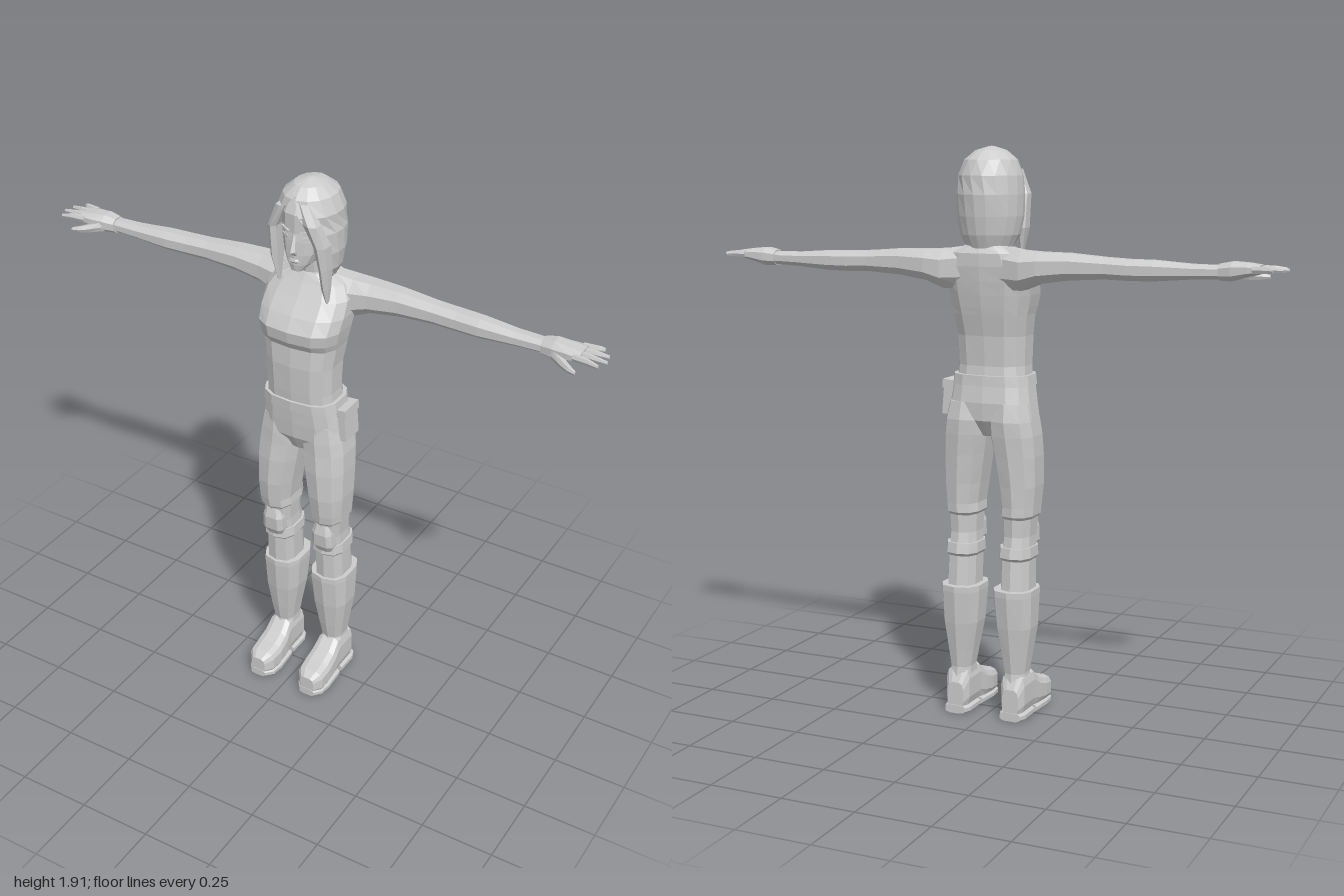
import * as THREE from 'three';

const grey = new THREE.MeshStandardMaterial({ color: 0xcccccc, flatShading: true, side: THREE.DoubleSide });
grey.name = 'plain grey';

// Axis along the loft, then the two axes of its cross-section
const AXES = { x: [0, 1, 2], y: [1, 0, 2], z: [2, 0, 1] };

// Capped loft; row = [position, aMin, aMax, bMin, bMax]; a low power gives a squarer section
function loft(name, axis, rows, { sides = 10, power = 0.8, mirror = 1 } = {}) {
  const [t, a, b] = AXES[axis];
  const bend = v => Math.sign(v) * Math.pow(Math.abs(v), power);
  const rings = rows.map(([pos, a0, a1, b0, b1]) => {
    const ring = [];
    for (let i = 0; i < sides; i++) {
      const ang = ((i + 0.5) / sides) * Math.PI * 2;
      const p = [0, 0, 0];
      p[t] = pos;
      p[a] = (a0 + a1) / 2 + ((a1 - a0) / 2) * bend(Math.cos(ang));
      p[b] = (b0 + b1) / 2 + ((b1 - b0) / 2) * bend(Math.sin(ang));
      p[0] *= mirror;
      ring.push(new THREE.Vector3(...p));
    }
    return ring;
  });
  const centre = r => r.reduce((s, p) => s.add(p), new THREE.Vector3()).divideScalar(sides);
  const first = centre(rings[0]), last = centre(rings[rings.length - 1]);
  const tris = [];
  for (let i = 0; i < sides; i++) {
    const j = (i + 1) % sides;
    for (let r = 0; r + 1 < rings.length; r++) {
      const p = rings[r], q = rings[r + 1];
      tris.push([p[i], p[j], q[j]], [p[i], q[j], q[i]]);
    }
    const end = rings[rings.length - 1];
    tris.push([first, rings[0][j], rings[0][i]], [last, end[i], end[j]]);
  }
  // Turn the faces outward whichever way the loft runs
  const volume = tris.reduce((s, [p, q, r]) => s + p.clone().sub(first).dot(q.clone().sub(first).cross(r.clone().sub(first))), 0);
  return meshFrom(name, volume < 0 ? tris.map(([p, q, r]) => [p, r, q]) : tris);
}

function meshFrom(name, tris) {
  const geo = new THREE.BufferGeometry().setFromPoints(tris.flat());
  geo.computeVertexNormals();
  const mesh = new THREE.Mesh(geo, grey);
  mesh.name = name;
  return mesh;
}

function box(name, size, pos, rot = [0, 0, 0]) {
  const mesh = new THREE.Mesh(new THREE.BoxGeometry(...size), grey);
  mesh.name = name;
  mesh.position.set(...pos);
  mesh.rotation.set(...rot);
  return mesh;
}

// Hair shell, open over the face; row = [y, halfWidth, zBack, zFront, right opening, left opening]
function hairShell() {
  const rows = [
    [1.912, 0.012, -0.05, -0.02, 0, 0], [1.9, 0.05, -0.1, 0.025, 0, 0],
    [1.87, 0.085, -0.14, 0.06, 0.12, 0.02], [1.82, 0.105, -0.158, 0.075, 0.6, 0.2],
    [1.76, 0.111, -0.162, 0.078, 0.75, 0.6], [1.69, 0.11, -0.155, 0.072, 0.85, 0.75],
    [1.63, 0.1, -0.145, 0.06, 1.0, 0.9], [1.575, 0.075, -0.125, 0.035, 1.5, 1.4],
  ];
  const n = 14;
  const grid = rows.map(([y, w, z0, z1, right, left]) => Array.from({ length: n + 1 }, (_, i) => {
    const ang = left + (i / n) * (Math.PI * 2 - right - left);
    return new THREE.Vector3(w * Math.sin(ang), y, (z0 + z1) / 2 + ((z1 - z0) / 2) * Math.cos(ang));
  }));
  const tris = [];
  for (let i = 0; i < n; i++) {
    tris.push([new THREE.Vector3(0, 1.914, -0.035), grid[0][i], grid[0][i + 1]]);
    for (let r = 0; r + 1 < grid.length; r++) {
      const p = grid[r], q = grid[r + 1];
      tris.push([p[i], q[i], q[i + 1]], [p[i], q[i + 1], p[i + 1]]);
    }
  }
  return meshFrom('hair', tris);
}

function buildHead() {
  const g = new THREE.Group();
  g.name = 'head';
  g.add(loft('neck', 'y', [[1.55, -0.06, 0.06, -0.12, 0.0], [1.6, -0.046, 0.046, -0.1, -0.005], [1.69, -0.045, 0.045, -0.09, 0.01]], { power: 1 }));
  g.add(loft('face', 'y', [
    [1.632, -0.02, 0.02, 0.02, 0.062], [1.655, -0.042, 0.042, -0.05, 0.067], [1.69, -0.062, 0.062, -0.1, 0.068],
    [1.735, -0.073, 0.073, -0.12, 0.066], [1.76, -0.077, 0.077, -0.125, 0.062], [1.82, -0.08, 0.08, -0.13, 0.062],
    [1.87, -0.062, 0.062, -0.11, 0.035],
  ], { sides: 14, power: 0.85 }));
  g.add(loft('nose', 'y', [[1.69, -0.012, 0.012, 0.05, 0.074], [1.704, -0.013, 0.013, 0.05, 0.088], [1.755, -0.006, 0.006, 0.05, 0.068]], { sides: 6, power: 1 }));
  g.add(loft('lips', 'y', [[1.662, -0.012, 0.012, 0.05, 0.069], [1.668, -0.02, 0.02, 0.05, 0.073], [1.676, -0.014, 0.014, 0.05, 0.071]], { sides: 8 }));
  for (const s of [1, -1]) {
    g.add(box('eye', [0.03, 0.01, 0.008], [s * 0.036, 1.745, 0.053], [0, s * 0.45, s * 0.12]));
    g.add(box('eyebrow', [0.036, 0.006, 0.008], [s * 0.036, 1.768, 0.055], [0, s * 0.45, s * 0.2]));
  }
  g.add(hairShell());
  // Long tapering locks framing the face
  g.add(loft('leftLock', 'y', [[1.86, -0.005, 0.045, 0.02, 0.06], [1.8, 0.03, 0.085, 0.03, 0.078], [1.73, 0.06, 0.108, 0.005, 0.07],
    [1.65, 0.074, 0.11, 0.0, 0.058], [1.58, 0.08, 0.108, 0.01, 0.045], [1.52, 0.096, 0.102, 0.022, 0.03]], { sides: 6 }));
  g.add(loft('rightLock', 'y', [[1.84, -0.075, -0.04, 0.02, 0.06], [1.76, -0.108, -0.075, 0.0, 0.058],
    [1.65, -0.108, -0.078, -0.02, 0.045], [1.56, -0.09, -0.082, 0.005, 0.02]], { sides: 6 }));
  return g;
}

function buildBody() {
  const g = new THREE.Group();
  g.name = 'body';
  const sym = rows => rows.map(([y, w, z0, z1]) => [y, -w, w, z0, z1]);
  g.add(loft('torso', 'y', sym([
    [1.13, 0.127, -0.1, 0.082], [1.2, 0.121, -0.092, 0.088], [1.3, 0.124, -0.1, 0.094], [1.37, 0.134, -0.115, 0.091],
    [1.395, 0.14, -0.12, 0.106], [1.435, 0.148, -0.127, 0.112], [1.48, 0.153, -0.133, 0.085],
    [1.53, 0.15, -0.138, 0.045], [1.572, 0.125, -0.138, 0.015], [1.6, 0.065, -0.122, -0.002],
  ]), { sides: 14, power: 0.7 }));
  g.add(loft('belt', 'y', sym([[1.135, 0.14, -0.11, 0.092], [1.17, 0.135, -0.108, 0.094]]), { sides: 14, power: 0.7 }));
  g.add(loft('hips', 'y', sym([
    [1.15, 0.134, -0.104, 0.086], [1.08, 0.146, -0.114, 0.08], [1.02, 0.156, -0.11, 0.073], [0.965, 0.06, -0.075, 0.045],
  ]), { sides: 14, power: 0.7 }));
  g.add(box('beltPouch', [0.035, 0.115, 0.085], [0.148, 1.085, -0.022], [0, 0, 0.08]));
  g.add(box('pouchFlap', [0.04, 0.03, 0.09], [0.147, 1.13, -0.022], [0, 0, 0.08]));
  return g;
}

function buildArm(s) {
  const g = new THREE.Group();
  g.name = s > 0 ? 'leftArm' : 'rightArm';
  const opt = { sides: 8, power: 0.9, mirror: s };
  g.add(loft('arm', 'x', [
    [0.06, 1.45, 1.6, -0.13, -0.02], [0.14, 1.45, 1.588, -0.15, -0.025], [0.2, 1.475, 1.584, -0.15, -0.035],
    [0.3, 1.49, 1.582, -0.138, -0.045], [0.42, 1.498, 1.572, -0.13, -0.05], [0.5, 1.496, 1.568, -0.13, -0.05],
    [0.58, 1.497, 1.567, -0.126, -0.046], [0.7, 1.507, 1.558, -0.115, -0.05], [0.82, 1.512, 1.556, -0.108, -0.052],
  ], opt));
  g.add(loft('palm', 'x', [[0.79, 1.507, 1.562, -0.112, -0.045], [0.83, 1.505, 1.57, -0.12, -0.034],
    [0.88, 1.52, 1.566, -0.122, -0.028], [0.92, 1.53, 1.56, -0.122, -0.028]], opt));
  // Four fingers, the middle two longest, and a thumb
  [0.965, 0.992, 1.0, 0.985].forEach((tip, i) => {
    const z = -0.113 + i * 0.025, fan = (i - 1.5) * 0.005;
    g.add(loft('finger', 'x', [[0.9, 1.533, 1.557, z - 0.011, z + 0.011], [0.95, 1.536, 1.556, z + fan - 0.009, z + fan + 0.009],
      [tip, 1.538, 1.55, z + 2 * fan - 0.005, z + 2 * fan + 0.005]], { sides: 6, mirror: s }));
  });
  g.add(loft('thumb', 'x', [[0.83, 1.512, 1.55, -0.065, -0.035], [0.87, 1.508, 1.538, -0.045, -0.012],
    [0.9, 1.508, 1.53, -0.022, 0.003], [0.925, 1.512, 1.524, -0.004, 0.009]], { sides: 6, mirror: s }));
  return g;
}

function buildLeg(s) {
  const g = new THREE.Group();
  g.name = s > 0 ? 'leftLeg' : 'rightLeg';
  const opt = { sides: 10, power: 0.75, mirror: s };
  g.add(loft('trouserLeg', 'y', [
    [1.08, 0.012, 0.142, -0.112, 0.07], [1.02, 0.004, 0.156, -0.122, 0.074], [0.97, 0.005, 0.164, -0.119, 0.075],
    [0.9, 0.016, 0.167, -0.112, 0.08], [0.8, 0.033, 0.166, -0.104, 0.08], [0.73, 0.043, 0.16, -0.1, 0.073],
    [0.7, 0.04, 0.158, -0.1, 0.068], [0.69, 0.048, 0.15, -0.092, 0.06], [0.63, 0.05, 0.146, -0.09, 0.05],
    [0.57, 0.045, 0.15, -0.1, 0.042],
  ], opt));
  g.add(loft('kneePad', 'y', [[0.575, 0.068, 0.13, 0, 0.05], [0.6, 0.056, 0.142, 0, 0.063],
    [0.65, 0.058, 0.138, 0, 0.068], [0.685, 0.07, 0.128, 0, 0.06]], { sides: 8, power: 0.6, mirror: s }));
  g.add(loft('shinCuff', 'y', [[0.595, 0.04, 0.155, -0.104, 0.046], [0.56, 0.038, 0.157, -0.11, 0.05],
    [0.55, 0.045, 0.15, -0.1, 0.04], [0.43, 0.045, 0.152, -0.11, 0.034]], opt));
  g.add(loft('bootShaft', 'y', [[0.45, 0.024, 0.167, -0.132, 0.045], [0.43, 0.024, 0.167, -0.132, 0.045],
    [0.32, 0.033, 0.163, -0.122, 0.034], [0.22, 0.052, 0.147, -0.108, 0.018],
    [0.16, 0.062, 0.138, -0.1, 0.006], [0.08, 0.058, 0.146, -0.11, 0.03]], opt));
  const foot = { sides: 12, power: 0.6, mirror: s };
  g.add(loft('bootFoot', 'z', [[-0.113, 0.072, 0.132, 0.015, 0.11], [-0.09, 0.058, 0.146, 0.015, 0.16], [0, 0.056, 0.148, 0.015, 0.162],
    [0.04, 0.05, 0.152, 0.015, 0.125], [0.085, 0.047, 0.155, 0.012, 0.108], [0.13, 0.052, 0.152, 0.01, 0.098],
    [0.157, 0.075, 0.13, 0.015, 0.078]], foot));
  g.add(loft('heel', 'z', [[-0.116, 0.065, 0.14, 0, 0.03], [-0.09, 0.054, 0.15, 0, 0.03], [-0.012, 0.054, 0.15, 0, 0.03]], foot));
  g.add(loft('sole', 'z', [[0.005, 0.052, 0.152, 0, 0.028], [0.085, 0.045, 0.157, 0, 0.028],
    [0.13, 0.05, 0.153, 0, 0.028], [0.159, 0.073, 0.132, 0.003, 0.03]], foot));
  return g;
}

export function createModel() {
  const model = new THREE.Group();
  model.name = 'standingWoman';
  model.add(buildHead(), buildBody());
  for (const s of [1, -1]) model.add(buildArm(s), buildLeg(s));
  return model;
}
